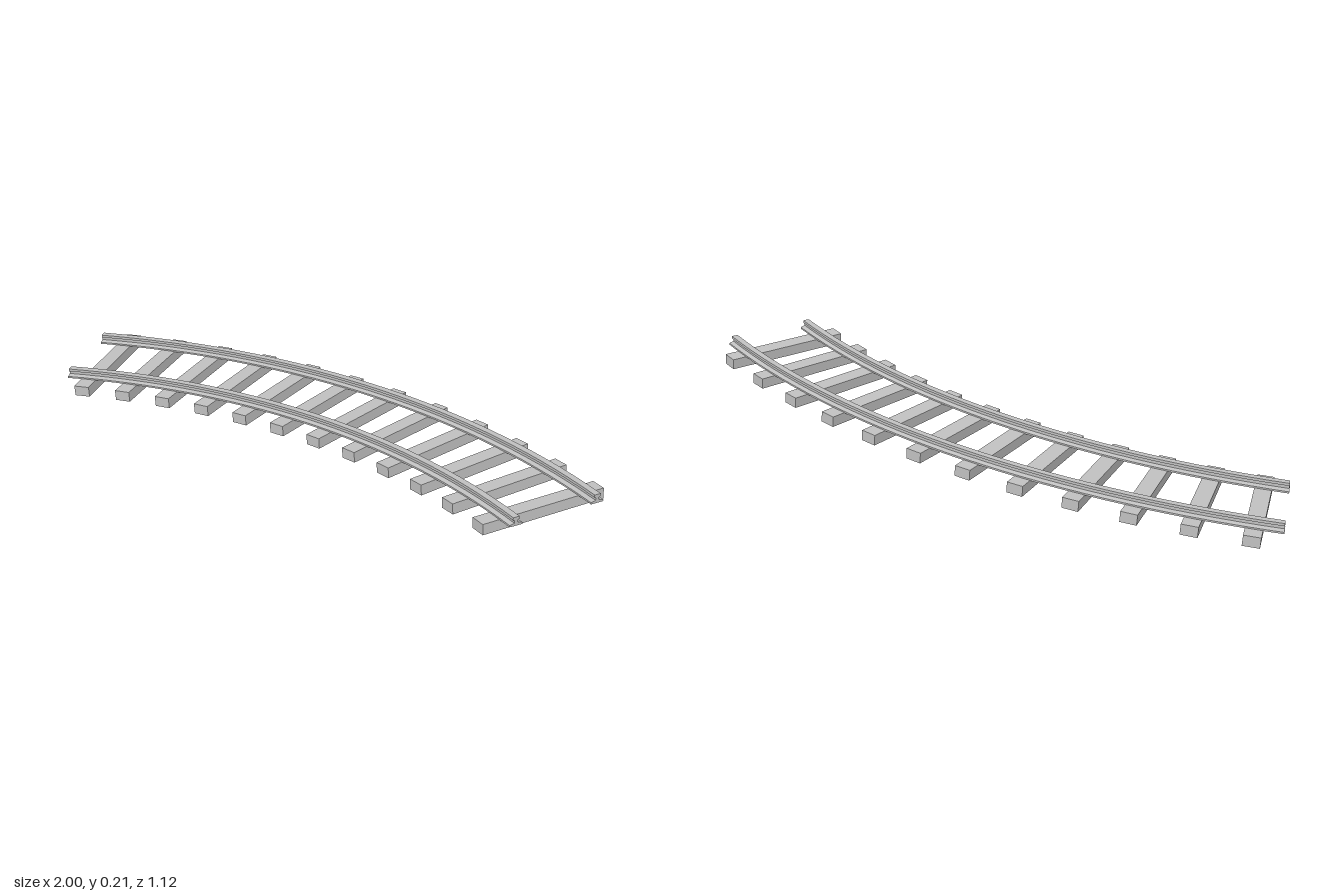
import * as THREE from 'three';

const ARC = Math.PI / 4;              // sweep of the curve
const RISE = 0.147;                   // climb from start to end
const CX = -1, CZ = 2.317;            // centre of the curve
const R_OUTER = 2.805, R_INNER = 2.518, R_MID = 2.657;
const TIES = 12;

// Point on the climbing curve at radius r, fraction t, height y
function trackPoint(r, t, y) {
  const a = t * ARC;
  return new THREE.Vector3(CX + r * Math.sin(a), y + RISE * t, CZ - r * Math.cos(a));
}

// I-beam section: wide foot, thin web, narrow head
function railSection() {
  const half = [[0.022, 0], [0.022, 0.006], [0.006, 0.010], [0.006, 0.019], [0.011, 0.021], [0.011, 0.030]];
  const left = half.map(([x, y]) => [-x, y]).reverse();
  return new THREE.Shape([...half, ...left].map(([x, y]) => new THREE.Vector2(x, y)));
}

// Straight extrusion bent along the climbing curve
function makeRail(radius, material, name) {
  const geo = new THREE.ExtrudeGeometry(railSection(), { depth: 1, steps: 32, bevelEnabled: false });
  const pos = geo.attributes.position;
  for (let i = 0; i < pos.count; i++) {
    const p = trackPoint(radius + pos.getX(i), pos.getZ(i), 0.031 + pos.getY(i));
    pos.setXYZ(i, p.x, p.y, p.z);
  }
  geo.computeVertexNormals();
  const rail = new THREE.Mesh(geo, material);
  rail.name = name;
  return rail;
}

export function createModel() {
  const grey = new THREE.MeshStandardMaterial({ color: 0xc0c0c0 });
  grey.name = 'light grey';

  const track = new THREE.Group();
  track.name = 'curvedTrack';
  track.add(makeRail(R_OUTER, grey, 'outerRail'), makeRail(R_INNER, grey, 'innerRail'));

  // Crossties, evenly spaced and pitched with the slope
  const tieGeo = new THREE.BoxGeometry(0.055, 0.036, 0.44);
  const pitch = Math.atan(RISE / (R_MID * ARC));
  for (let i = 0; i < TIES; i++) {
    const t = (i + 0.5) / TIES;
    const tie = new THREE.Mesh(tieGeo, grey);
    tie.name = 'crosstie' + (i + 1);
    tie.position.copy(trackPoint(R_MID, t, 0.014));
    tie.rotation.set(0, -t * ARC, pitch, 'YXZ');
    track.add(tie);
  }
  return track;
}
